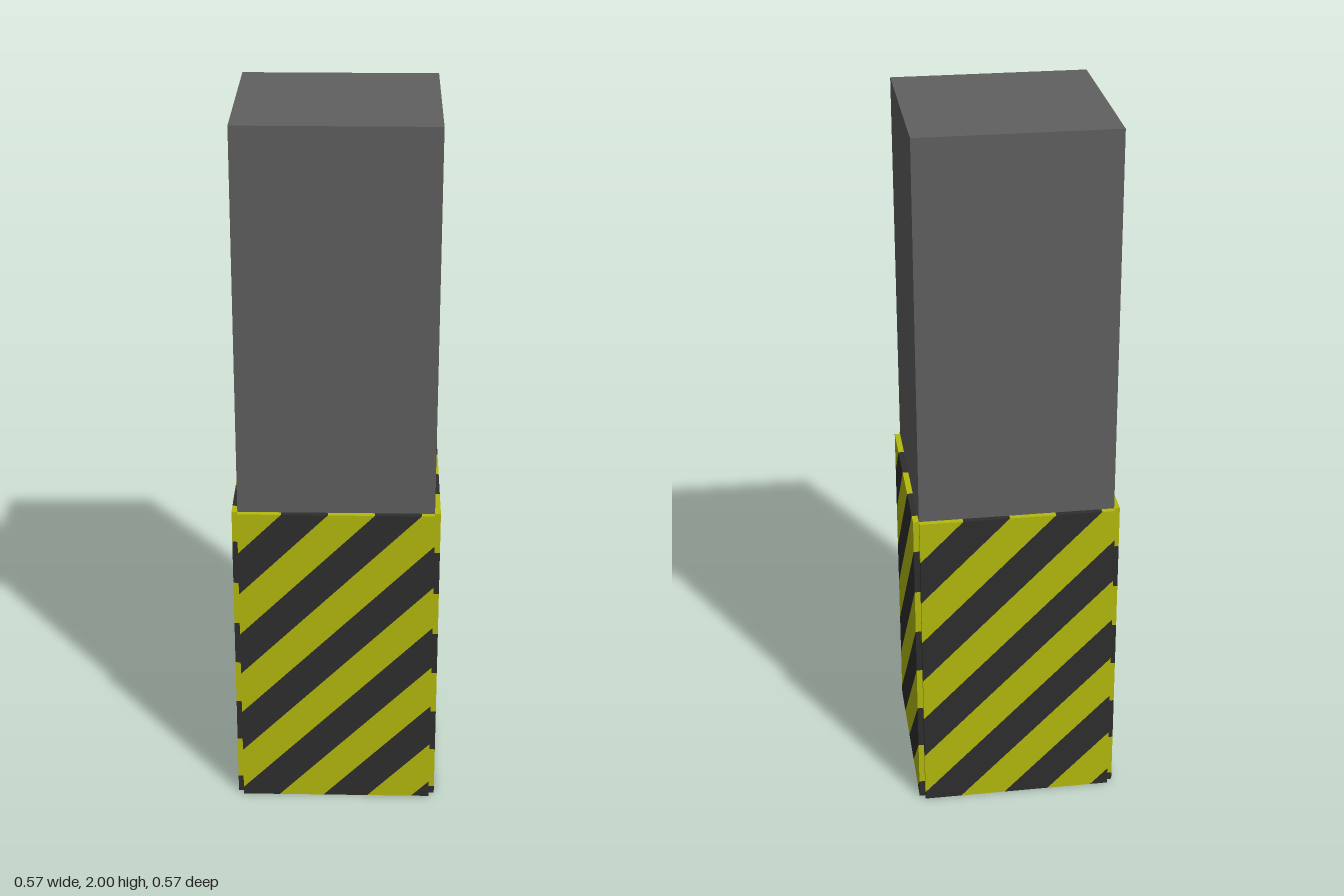
import * as THREE from 'three';

const HALF = 0.27, PANEL_H = 0.92, DEPTH = 0.016;
const STEP = 0.128, SLOPE = 0.99, PHASE = -0.037; // stripe width, lean and offset

// Keep the part of a polygon where sign * (x - SLOPE * y - limit) >= 0
function clip(points, limit, sign) {
  const out = [];
  const dist = (p) => sign * (p.x - SLOPE * p.y - limit);
  points.forEach((p, i) => {
    const q = points[(i + 1) % points.length];
    const a = dist(p), b = dist(q);
    if (a >= 0) out.push(p);
    if ((a > 0 && b < 0) || (a < 0 && b > 0)) out.push(p.clone().lerp(q, a / (a - b)));
  });
  return out;
}

// One guard panel made of slanted stripes in alternating colours
function stripedPanel(name, yellow, black) {
  const panel = new THREE.Group();
  panel.name = name;
  const outline = [[-HALF, 0], [HALF, 0], [HALF, PANEL_H], [-HALF, PANEL_H]]
    .map(([x, y]) => new THREE.Vector2(x, y));
  for (let i = -11; i <= 4; i++) {
    const start = PHASE + i * STEP;
    const points = clip(clip(outline, start, 1), start + STEP, -1);
    if (points.length < 3) continue;
    const isBlack = i % 2 === 0;
    const stripe = new THREE.Mesh(
      new THREE.ExtrudeGeometry(new THREE.Shape(points), { depth: DEPTH, bevelEnabled: false }),
      isBlack ? black : yellow);
    stripe.name = isBlack ? 'blackStripe' : 'yellowStripe';
    stripe.position.z = HALF;
    panel.add(stripe);
  }
  return panel;
}

export function createModel() {
  const grey = new THREE.MeshStandardMaterial({ color: 0x606060 });
  const yellow = new THREE.MeshStandardMaterial({ color: 0xb4ba0e });
  const black = new THREE.MeshStandardMaterial({ color: 0x2e2e2e });
  grey.name = 'concreteGrey';
  yellow.name = 'warningYellow';
  black.name = 'warningBlack';

  const model = new THREE.Group();
  model.name = 'guardedColumn';

  // Square column
  const column = new THREE.Mesh(new THREE.BoxGeometry(HALF * 2, 2, HALF * 2), grey);
  column.name = 'column';
  column.position.y = 1;
  model.add(column);

  // Four guard panels around the foot
  ['frontPanel', 'leftPanel', 'backPanel', 'rightPanel'].forEach((name, i) => {
    const panel = stripedPanel(name, yellow, black);
    panel.rotation.y = i * Math.PI / 2;
    model.add(panel);
  });
  return model;
}
